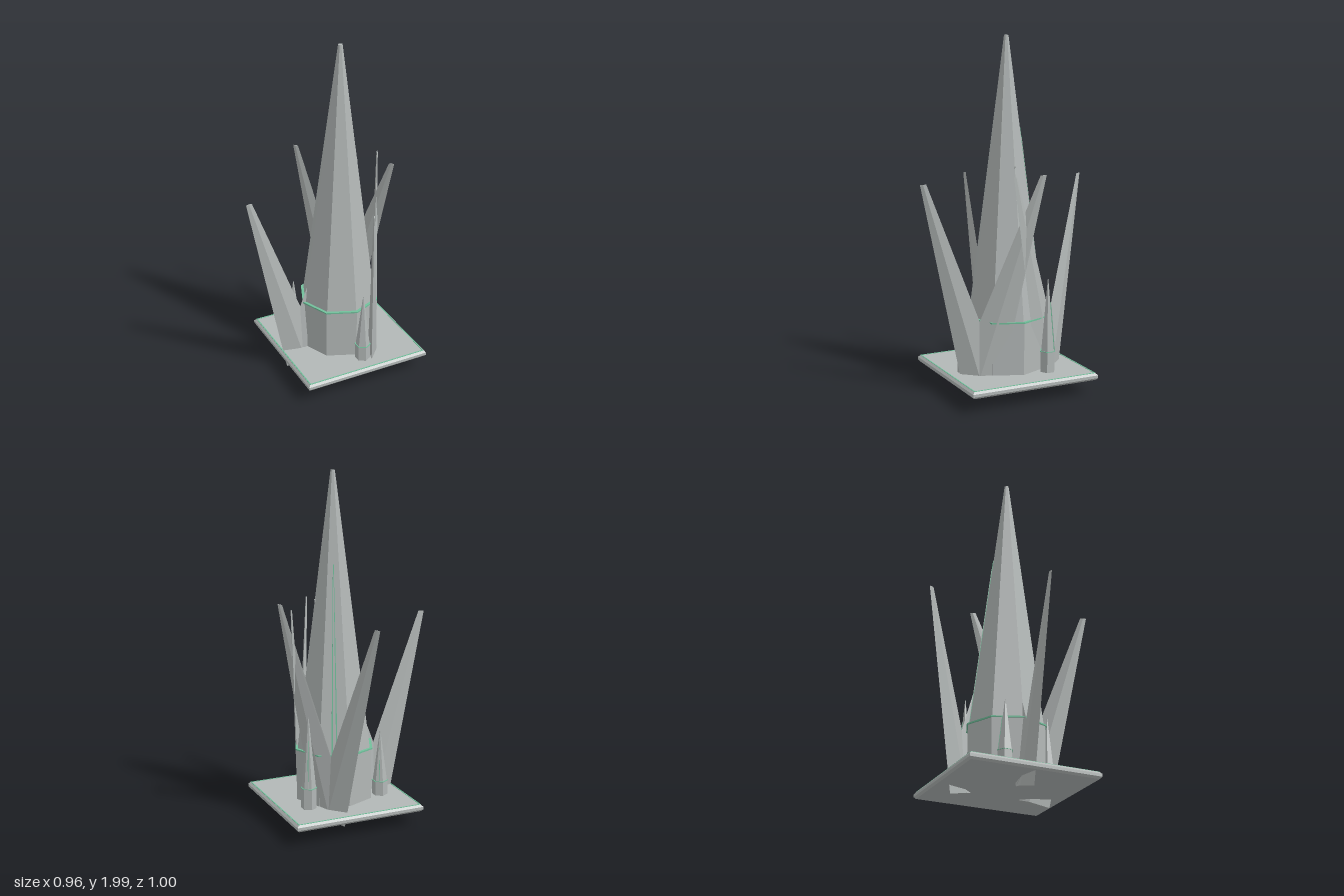
import * as THREE from 'three';
import { ConvexGeometry } from 'three/addons/geometries/ConvexGeometry.js';

const stone = new THREE.MeshStandardMaterial({ name: 'stone grey', color: 0xb2b7b6, flatShading: true });
const glow = new THREE.MeshStandardMaterial({ name: 'pale green', color: 0x72c09c, flatShading: true });

function add(parent, name, geometry, material, x = 0, y = 0, z = 0) {
  const mesh = new THREE.Mesh(geometry, material);
  mesh.name = name;
  mesh.position.set(x, y, z);
  parent.add(mesh);
  return mesh;
}

// Tapered strip lying in the xy plane
function strip(width, tipWidth, length, depth) {
  const s = new THREE.Shape();
  s.moveTo(-width, 0);
  s.lineTo(width, 0);
  s.lineTo(tipWidth, length);
  s.lineTo(-tipWidth, length);
  return new THREE.ExtrudeGeometry(s, { depth, bevelEnabled: false });
}

// Faceted column with a glowing ledge, a tall point and a vein up one face
function makeSpire({ name, sides, radius, topRadius, shoulder, top, x, z }) {
  const g = new THREE.Group();
  g.name = name;
  g.position.set(x, 0, z);
  const base = 0.12, h = top - shoulder, k = Math.cos(Math.PI / sides);
  const ledge = radius < 0.1 ? 0.003 : 0.008;
  add(g, name + 'Column', new THREE.CylinderGeometry(radius, radius, shoulder - base, sides), stone, 0, (base + shoulder) / 2, 0);
  add(g, name + 'Ledge', new THREE.CylinderGeometry(radius + ledge, radius + ledge, ledge, sides), glow, 0, shoulder, 0);
  const foot = radius - ledge;
  add(g, name + 'Point', new THREE.CylinderGeometry(topRadius, foot, h, sides), stone, 0, shoulder + h / 2, 0);

  const vein = new THREE.Group();
  vein.name = name + 'Vein';
  vein.rotation.y = Math.PI - Math.PI / sides;
  g.add(vein);
  const tilt = Math.atan(((foot - topRadius) * k) / h);
  const w = radius * 0.075, len = h * 0.68;
  const border = add(vein, name + 'VeinEdge', strip(w, w * 0.15, len, 0.004), glow, 0, shoulder, foot * k);
  const core = add(vein, name + 'VeinCore', strip(w * 0.55, w * 0.05, len * 0.95, 0.006), stone, 0, shoulder, foot * k);
  border.rotation.x = core.rotation.x = -tilt;
  return g;
}

// Flat spike of diamond section; each end is a pair of [u, y] edge points
function blade(base, tip) {
  const points = [];
  for (const [[a, b], t] of [[base, 0.026], [tip, 0.004]]) {
    const mu = (a[0] + b[0]) / 2, my = (a[1] + b[1]) / 2;
    points.push(new THREE.Vector3(a[0], a[1], 0), new THREE.Vector3(b[0], b[1], 0));
    points.push(new THREE.Vector3(mu, my, t), new THREE.Vector3(mu, my, -t));
  }
  return new ConvexGeometry(points);
}

// Two blades spreading from one buried foot
function makeFin(name, lift, outerTip, innerTip) {
  const g = new THREE.Group();
  g.name = name;
  const inner = [0.105, 0.07 + lift];
  add(g, name + 'OuterBlade', blade(
    [[-0.115, 0.01 + lift], inner],
    [[-0.345, outerTip], [-0.31, outerTip + 0.003]]), stone);
  add(g, name + 'InnerBlade', blade(
    [[-0.132, 0.125 + lift], inner],
    [[0.312, innerTip - 0.003], [0.345, innerTip]]), stone);
  return g;
}

export function createModel() {
  const model = new THREE.Group();
  model.name = 'spireMonument';
  const cx = 0.095;

  // Chamfered base plate
  const r = 0.374;
  const square = (Type, s) => new Type([[-s, -s], [s, -s], [s, s], [-s, s]].map(([x, y]) => new THREE.Vector2(x, y)));
  const plate = new THREE.ExtrudeGeometry(square(THREE.Shape, r), {
    depth: 0.016, bevelEnabled: true, bevelSize: 0.011, bevelThickness: 0.012, bevelSegments: 1,
  });
  plate.rotateX(-Math.PI / 2);
  add(model, 'basePlate', plate, stone, cx, 0.102, 0);

  // Thin glowing outline on the plate
  const frame = square(THREE.Shape, r);
  frame.holes.push(square(THREE.Path, r - 0.007));
  const line = new THREE.ExtrudeGeometry(frame, { depth: 0.002, bevelEnabled: false });
  line.rotateX(-Math.PI / 2);
  add(model, 'plateOutline', line, glow, cx, 0.13, 0);

  // Main spire and three small ones around it
  model.add(makeSpire({ name: 'mainSpire', sides: 8, radius: 0.229, topRadius: 0.013, shoulder: 0.43, top: 2, x: cx, z: 0 }));
  [[-0.145, -0.118, 0.215, 0.51], [0.315, -0.152, 0.25, 0.66], [0.115, 0.268, 0.225, 0.55]].forEach(([x, z, shoulder, top], i) => {
    model.add(makeSpire({ name: 'smallSpire' + (i + 1), sides: 6, radius: 0.044, topRadius: 0.002, shoulder, top, x, z }));
  });

  // Side fin and a mirrored pair
  const sideFin = makeFin('sideFin', 0, 1.162, 1.29);
  sideFin.position.x = -0.135;
  model.add(sideFin);
  for (const s of [-1, 1]) {
    const fin = makeFin(s < 0 ? 'backFin' : 'frontFin', 0.032, 1.197, 1.26);
    fin.position.set(0.2175, 0, 0.2 * s);
    fin.rotation.y = (s * Math.PI) / 3;
    model.add(fin);
  }
  return model;
}
